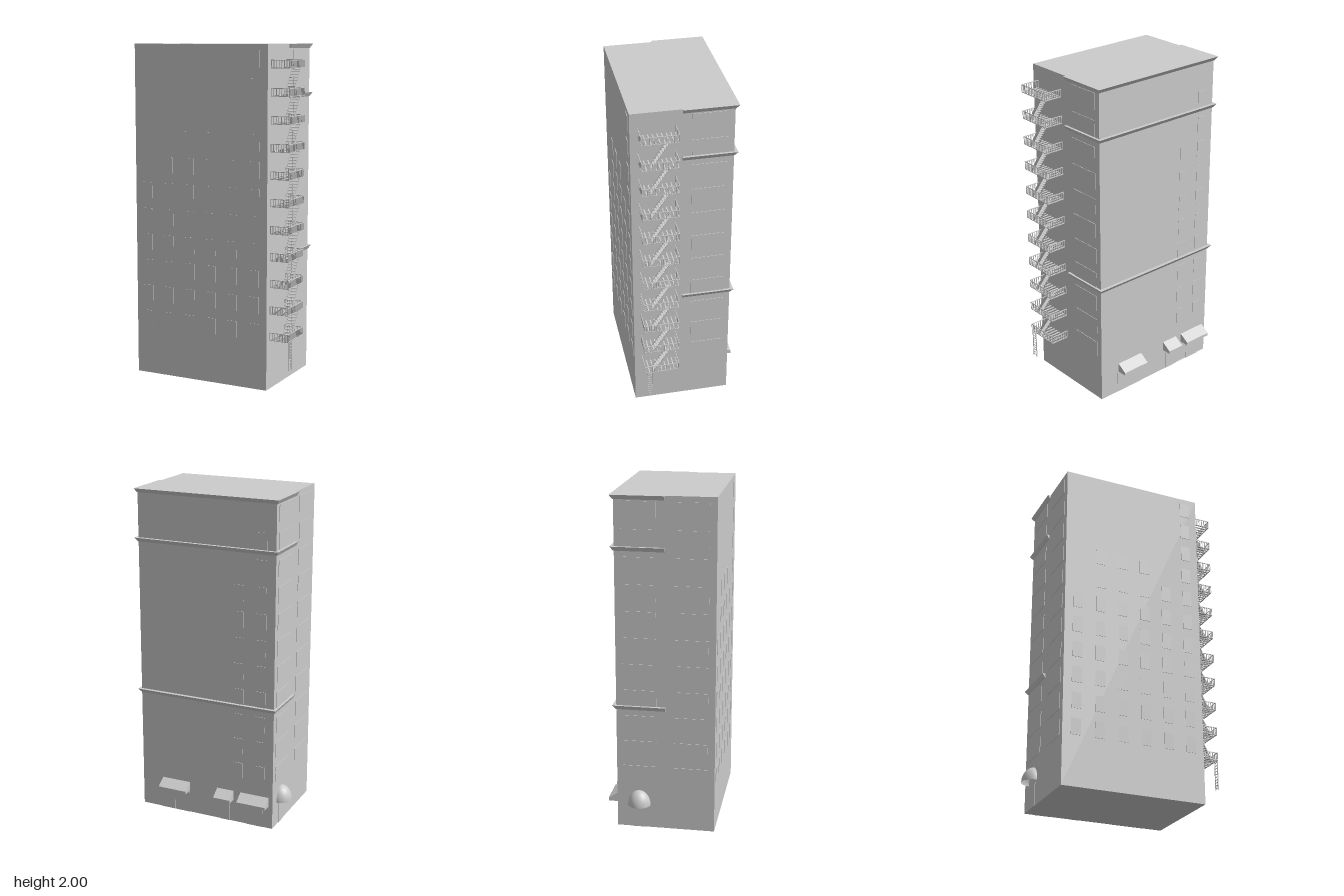
import * as THREE from 'three';

const grey = new THREE.MeshStandardMaterial({ color: 0xcccccc, flatShading: true });
const thin = new THREE.MeshStandardMaterial({ color: 0xcccccc, flatShading: true, side: THREE.DoubleSide });
const smooth = new THREE.MeshStandardMaterial({ color: 0xcccccc, side: THREE.DoubleSide });

// Wall planes, and the storey rhythm shared by windows and fire escape
const X0 = -0.465, X1 = 0.408, Z0 = -0.262, Z1 = 0.32;
const FLOORS = 11, STEP = 0.1574, SILL = 0.345;

// Box given by its minimum and maximum corners
function box(parent, name, x0, x1, y0, y1, z0, z1) {
  const mesh = new THREE.Mesh(new THREE.BoxGeometry(x1 - x0, y1 - y0, z1 - z0), grey);
  mesh.position.set((x0 + x1) / 2, (y0 + y1) / 2, (z0 + z1) / 2);
  mesh.name = name;
  parent.add(mesh);
  return mesh;
}

function group(parent, name) {
  const g = new THREE.Group();
  g.name = name;
  parent.add(g);
  return g;
}

// Cornice: its underside slopes back to the wall
function cornice(parent, top) {
  const mesh = box(parent, 'cornice', -0.483, 0.423, top - 0.025, top, -0.283, 0.028);
  const p = mesh.geometry.attributes.position;
  for (let i = 0; i < p.count; i++) {
    if (p.getY(i) > 0) continue;
    p.setX(i, p.getX(i) - Math.sign(p.getX(i)) * 0.014);
    if (p.getZ(i) < 0) p.setZ(i, p.getZ(i) + 0.019);
  }
  mesh.geometry.computeVertexNormals();
}

// Sloping shop awning, open underneath and toward the wall
function awning(parent, x0, x1) {
  const back = Z0, front = -0.323, top = 0.2, lip = 0.16, base = 0.142;
  const corners = [x0, x1].flatMap(x => [x, top, back, x, lip, front, x, base, front, x, base, back]);
  const g = new THREE.BufferGeometry();
  g.setAttribute('position', new THREE.Float32BufferAttribute(corners, 3));
  g.setIndex([0, 4, 5, 0, 5, 1, 1, 5, 6, 1, 6, 2, 0, 1, 2, 0, 2, 3, 4, 6, 5, 4, 7, 6]);
  g.computeVertexNormals();
  const mesh = new THREE.Mesh(g, thin);
  mesh.name = 'awning';
  parent.add(mesh);
}

function windows(root) {
  const g = group(root, 'windows');
  const d = 0.003, w = 0.03, h = 0.048;
  // Narrow windows: column x and number of storeys
  const front = [[-0.384, 6], [-0.24, 8], [-0.098, 8], [0.043, 8], [0.186, 7], [0.328, 11]];
  const back = [[-0.38, 10], [-0.24, 8]];
  for (const [x, n] of front)
    for (let i = 0; i < n; i++) {
      const y = SILL + i * STEP;
      box(g, 'frontWindow', x - w, x + w, y - h, y + h, Z1 - 0.01, Z1 + d);
    }
  for (const [x, n] of back)
    for (let i = 0; i < n; i++) {
      const y = SILL + i * STEP;
      box(g, 'backWindow', x - w, x + w, y - h, y + h, Z0 - d, Z0 + 0.01);
    }
  // Wide side windows
  for (let i = 0; i < FLOORS; i++) {
    const y = SILL + i * STEP;
    box(g, 'leftSideWindow', X1 - 0.01, X1 + d, y - h, y + h, -0.225, -0.025);
    for (const z of [-0.225, 0.078])
      box(g, 'rightSideWindow', X0 - d, X0 + 0.01, y - h, y + h, z, z + 0.2);
  }
}

// One landing: slatted floor, balusters and handrails
function landing(parent, y) {
  const g = group(parent, 'landing');
  const x0 = X1, x1 = 0.525, z0 = 0.066, z1 = 0.278, t = 0.004, h = 0.048;
  for (let i = 0; i < 9; i++) {
    const z = z0 + i * (z1 - z0 - 0.008) / 8;
    box(g, 'floorSlat', x0, x1, y, y + t, z, z + 0.008);
  }
  for (const dy of [0, h - t]) {
    box(g, 'outerRail', x1 - t, x1, y + dy, y + dy + t, z0, z1);
    for (const z of [z0, z1 - t]) box(g, 'endRail', x0, x1, y + dy, y + dy + t, z, z + t);
  }
  for (let i = 0; i <= 14; i++) {
    const z = z0 + i * (z1 - z0 - t) / 14;
    box(g, 'baluster', x1 - t, x1, y, y + h, z, z + t);
  }
  for (let i = 0; i < 7; i++) {
    const x = x0 + i * (x1 - x0 - t) / 7;
    for (const z of [z0, z1 - t]) box(g, 'baluster', x, x + t, y, y + h, z, z + t);
  }
}

// One flight climbing toward the back
function flight(parent, y) {
  const g = group(parent, 'stairFlight');
  const x0 = 0.465, x1 = 0.521, za = 0.222, zb = 0.115, n = 10;
  for (let i = 0; i < n; i++) {
    const k = (i + 0.5) / n, z = za + (zb - za) * k, ty = y + STEP * k;
    box(g, 'tread', x0, x1, ty, ty + 0.003, z - 0.007, z + 0.007);
  }
  const length = Math.hypot(STEP, za - zb);
  for (const x of [x0, x1 - 0.004]) {
    const s = box(g, 'stringer', x, x + 0.004, 0, 0.014, 0, length);
    s.position.set(x + 0.002, y + STEP / 2, (za + zb) / 2);
    s.rotation.x = Math.atan2(STEP, za - zb);
  }
}

function fireEscape(root) {
  const g = group(root, 'fireEscape');
  for (let i = 0; i < FLOORS; i++) {
    const y = 0.291 + i * STEP;
    landing(g, y);
    if (i < FLOORS - 1) flight(g, y);
  }
  // Drop ladder below the lowest landing
  const ladder = group(g, 'dropLadder');
  for (const z of [0.231, 0.261]) box(ladder, 'ladderRail', 0.524, 0.529, 0.122, 0.295, z, z + 0.004);
  for (let i = 0; i < 10; i++) {
    const y = 0.13 + i * 0.017;
    box(ladder, 'rung', 0.525, 0.528, y, y + 0.003, 0.231, 0.265);
  }
}

export function createModel() {
  const root = new THREE.Group();
  root.name = 'building';

  box(root, 'tower', X0, X1, 0, 2, Z0, Z1);
  for (const top of [2, 1.71, 0.769]) cornice(root, top);
  windows(root);

  // Back shopfront
  for (const [x0, x1] of [[-0.44, -0.255], [-0.21, -0.1], [0.087, 0.272]]) awning(root, x0, x1);
  for (const [x0, x1] of [[-0.4, -0.3], [-0.185, -0.125], [0.09, 0.18], [0.19, 0.28]])
    box(root, 'shopDoor', x0, x1, 0, 0.138, Z0 - 0.003, Z0 + 0.01);

  // Side entrance with a domed canopy
  box(root, 'sideDoor', X0 - 0.003, X0 + 0.01, 0, 0.14, -0.17, -0.09);
  const dome = new THREE.Mesh(
    new THREE.SphereGeometry(1, 24, 10, -Math.PI / 2, Math.PI, 0, Math.PI / 2), smooth);
  dome.name = 'domedCanopy';
  dome.scale.set(0.068, 0.09, 0.068);
  dome.position.set(X0, 0.146, -0.13);
  // Select the half of the dome that faces outward from the wall
  dome.geometry.rotateY(Math.PI / 2 - Math.atan2(
    -dome.geometry.attributes.position.getZ(10 * 25 + 12),
    dome.geometry.attributes.position.getX(10 * 25 + 12)) + Math.PI / 2);
  root.add(dome);

  fireEscape(root);
  return root;
}
